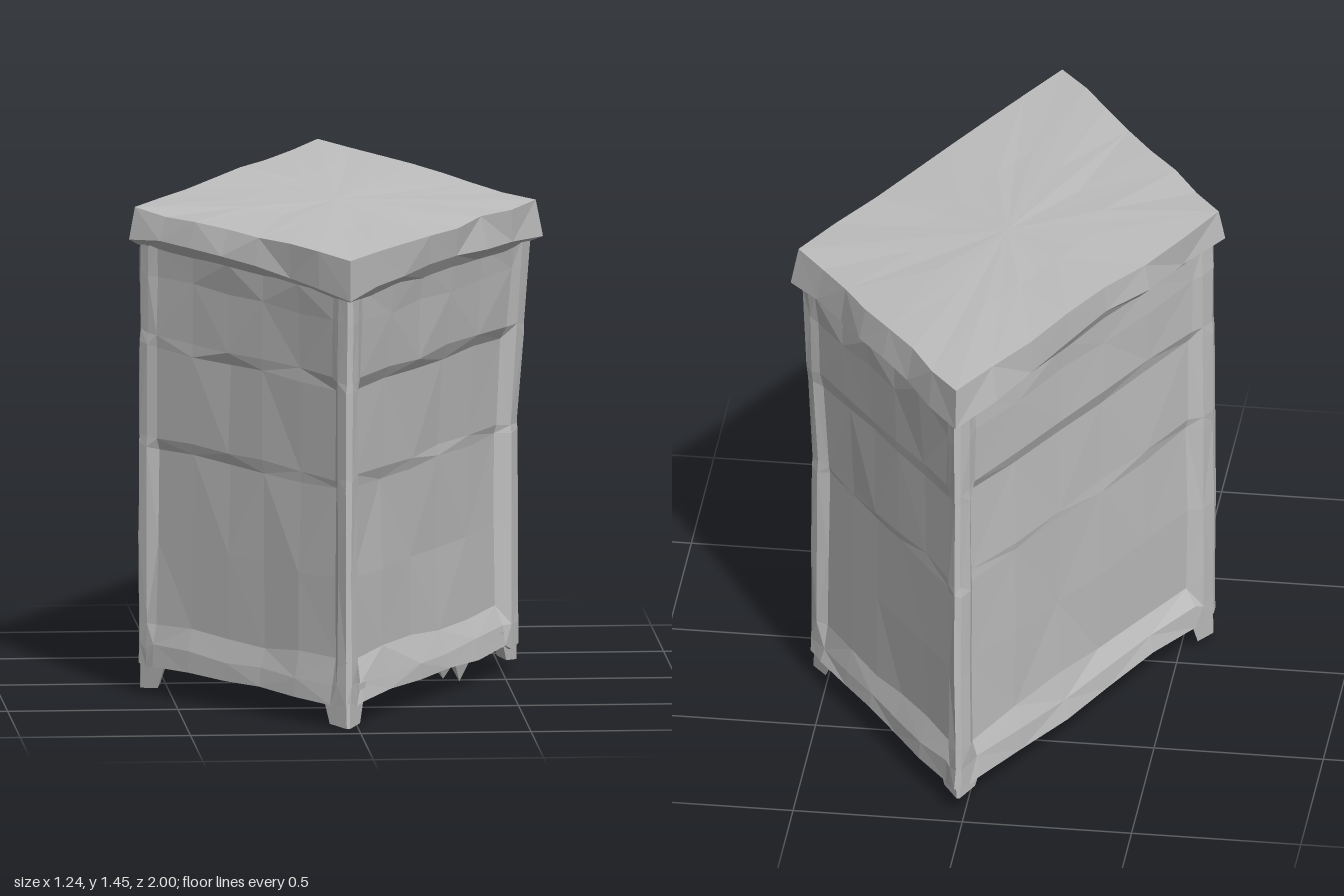
import * as THREE from 'three';
import { ConvexGeometry } from 'three/addons/geometries/ConvexGeometry.js';

const V = (x, y, z) => new THREE.Vector3(x, y, z);

// Small seeded noise for the rough, hand-hewn surface
let seed = 7;
const jitter = (a) => {
  seed = (seed * 16807) % 2147483647;
  return (seed / 2147483647 - 0.5) * 2 * a;
};

// Skewed footprint corners in the order front, right, back, left
const low = [V(-0.03, 0.07, 0.935), V(0.558, 0.08, -0.205), V(0.02, 0.08, -0.965), V(-0.6, 0.09, 0.17)];
const mid = [V(-0.03, 0.76, 0.95), V(0.556, 0.76, -0.2), V(0.02, 0.76, -0.965), V(-0.597, 0.76, 0.17)];
const high = [V(-0.03, 1.29, 0.985), V(0.59, 1.29, -0.165), V(0.02, 1.34, -0.965), V(-0.595, 1.34, 0.17)];

// Outward direction of the side that starts at corner i
function outward(ring, i) {
  const d = ring[(i + 1) % 4].clone().sub(ring[i]);
  return V(-d.z, 0, d.x).normalize();
}

// Flat-shaded skin over rings of equal length, listed from bottom to top
function loft(rings, bottomCentre, topCentre) {
  const p = [];
  const tri = (...pts) => pts.forEach((q) => p.push(q.x, q.y, q.z));
  const n = rings[0].length;
  for (let c = 0; c < n; c++) {
    const d = (c + 1) % n;
    for (let r = 0; r < rings.length - 1; r++) {
      const [a, b, e, f] = [rings[r][c], rings[r][d], rings[r + 1][d], rings[r + 1][c]];
      if ((r + c) % 2) tri(a, b, e, a, e, f);
      else tri(a, b, f, b, e, f);
    }
    const top = rings[rings.length - 1];
    if (bottomCentre) tri(rings[0][d], rings[0][c], bottomCentre);
    if (topCentre) tri(top[c], top[d], topCentre);
  }
  const g = new THREE.BufferGeometry();
  g.setAttribute('position', new THREE.Float32BufferAttribute(p, 3));
  g.computeVertexNormals();
  return g;
}

// Body: four framed sides with sunken panels and chamfered corners
function bodyGeometry() {
  const us = [0.015, 0.05, 0.085, 0.25, 0.42, 0.58, 0.75, 0.915, 0.945, 0.985];
  const vs = [0, 0.045, 0.1, 0.3, 0.52, 0.545, 0.76, 0.79, 0.93, 1];
  const sunk = [0, 0.15, 1, 1, 1, 0.85, 0.9, 0.5, 0.4, 0.3];
  const depth = [0.035, 0.02, 0.03, 0.015];
  const rings = vs.map((v, r) => {
    const corners = low.map((a, i) => {
      const y = THREE.MathUtils.lerp(a.y, high[i].y, v);
      const q = v < 0.55 ? a.clone().lerp(mid[i], v / 0.55) : mid[i].clone().lerp(high[i], (v - 0.55) / 0.45);
      return q.setY(y);
    });
    const ring = [];
    for (let i = 0; i < 4; i++) {
      const out = outward(corners, i);
      us.forEach((u, k) => {
        const inner = k > 1 && k < us.length - 2;
        const q = corners[i].clone().lerp(corners[(i + 1) % 4], u);
        const inset = inner ? depth[i] * sunk[r] : 0;
        q.addScaledVector(out, -inset + jitter(inner ? 0.006 : 0.003));
        q.y += jitter(r < 3 ? 0.012 : 0.008);
        ring.push(q);
      });
    }
    return ring;
  });
  return loft(rings, V(-0.01, 0.085, 0), null);
}

// Lid: sloping underside, thin overhanging rim and an uneven top
function lidGeometry() {
  const lower = [V(-0.03, 1.28, 1), V(0.62, 1.29, -0.15), V(0.02, 1.33, -1), V(-0.62, 1.345, 0.18)];
  const upper = [V(-0.03, 1.4, 0.995), V(0.598, 1.4, -0.14), V(0.02, 1.455, -0.99), V(-0.602, 1.44, 0.17)];
  const inner = upper.map((q) => V(q.x * 0.5, q.y * 0.5 + 0.715, q.z * 0.5));
  const under = high.map((q) => V(q.x * 0.97, q.y - 0.02, q.z * 0.97));
  const sides = 7;
  const ringOf = (corners, lift, noise) => {
    const ring = [];
    for (let i = 0; i < 4; i++) {
      for (let k = 0; k < sides; k++) {
        const u = k / sides;
        const q = corners[i].clone().lerp(corners[(i + 1) % 4], u);
        q.y += lift * Math.sin(Math.PI * u);
        if (k) {
          q.addScaledVector(outward(corners, i), jitter(noise));
          q.y += jitter(noise);
        }
        ring.push(q);
      }
    }
    return ring;
  };
  const rings = [ringOf(under, 0, 0.004), ringOf(lower, 0.025, 0.013), ringOf(upper, 0, 0.007), ringOf(inner, 0, 0.003)];
  return loft(rings, null, V(0, 1.43, 0));
}

// Foot: a short tapered wedge tucked under one corner
function footGeometry(i, bottom) {
  const c = low[i].clone().multiplyScalar(0.985);
  const a = low[(i + 1) % 4].clone().sub(low[i]).setY(0).normalize();
  const b = low[(i + 3) % 4].clone().sub(low[i]).setY(0).normalize();
  const pts = [];
  for (const [y, s] of [[0.12, 0.13], [bottom, 0.085]]) {
    for (const [m, n] of [[0.1, 0], [1, 0], [0.7, 0.7], [0, 1], [0, 0.1]]) {
      pts.push(c.clone().addScaledVector(a, m * s).addScaledVector(b, n * s).setY(y + (m + n) * 0.008));
    }
  }
  return new ConvexGeometry(pts);
}

export function createModel() {
  const group = new THREE.Group();
  const stone = new THREE.MeshStandardMaterial({ color: 0xbfbfbf });
  stone.name = 'paleGrey';
  stone.flatShading = true;
  const add = (name, geometry) => {
    const mesh = new THREE.Mesh(geometry, stone);
    mesh.name = name;
    group.add(mesh);
  };

  add('body', bodyGeometry());
  add('lid', lidGeometry());
  ['frontFoot', 'rightCornerFoot', 'backFoot', 'leftCornerFoot'].forEach((name, i) => {
    add(name, footGeometry(i, [0, 0.03, 0.045, 0.015][i]));
  });

  // Ragged tabs hanging from the lower rail
  const rail = low[1].clone().sub(low[0]);
  for (const [u, y] of [[0.585, 0.045], [0.68, 0.02]]) {
    const at = (t, h, inset) => low[0].clone().addScaledVector(rail, t)
      .addScaledVector(outward(low, 0), -inset).setY(h);
    add('railTab', new ConvexGeometry([at(u - 0.06, 0.1, 0.005), at(u + 0.06, 0.1, 0.005), at(u, 0.1, 0.07), at(u, y, 0.02)]));
  }
  return group;
}
